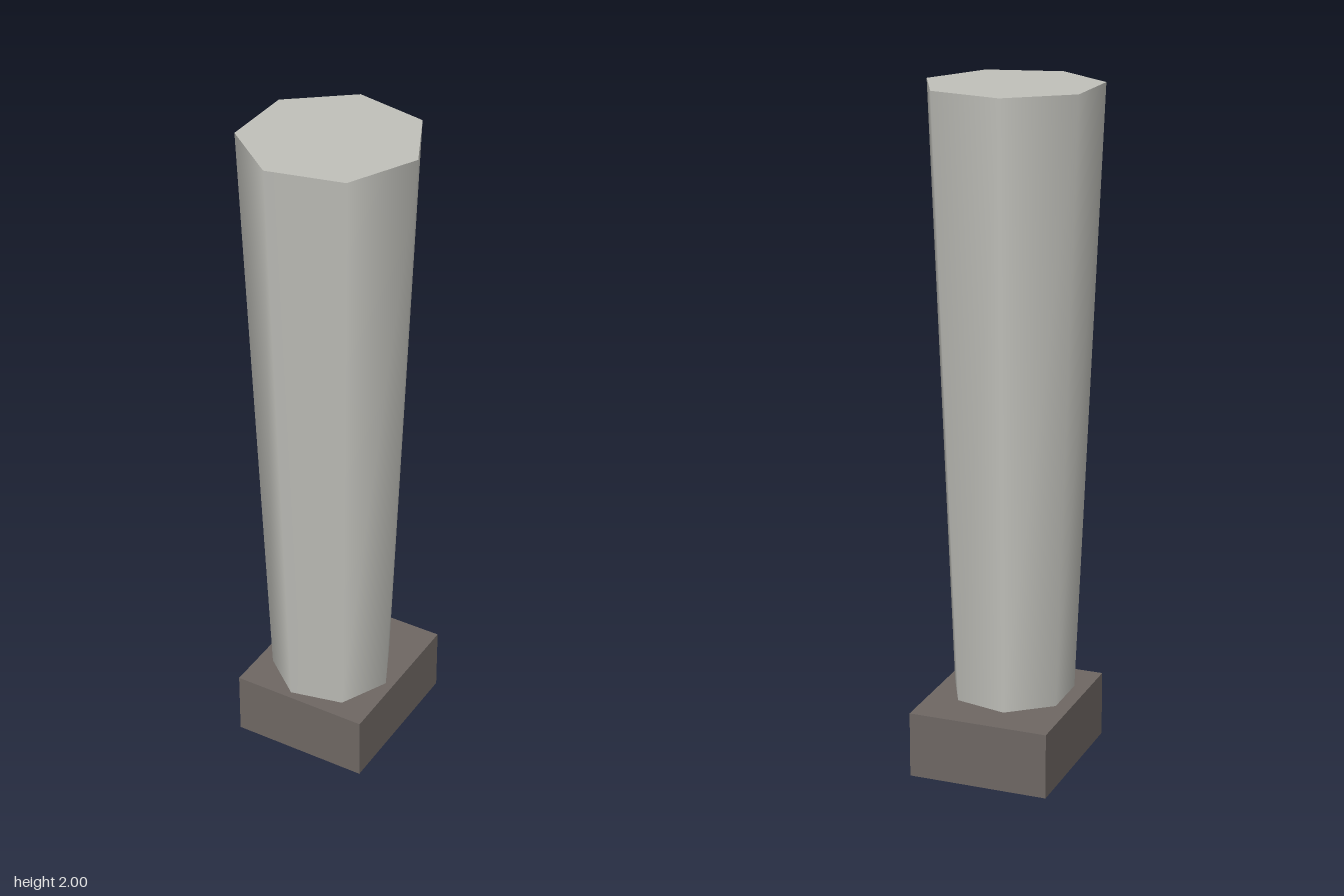
import * as THREE from 'three';

export function createModel() {
  const model = new THREE.Group();
  const stone = new THREE.MeshStandardMaterial({ color: 0xc0c0ba });
  stone.name = 'paleStone';
  const dark = new THREE.MeshStandardMaterial({ color: 0x6e6763 });
  dark.name = 'darkStone';

  // Rectangular plinth, slightly off the shaft's axis
  const baseHeight = 0.197;
  const base = new THREE.Mesh(new THREE.BoxGeometry(0.422, baseHeight, 0.487), dark);
  base.name = 'base';
  base.position.set(-0.014, baseHeight / 2, -0.027);

  // Smooth seven-sided shaft widening upward, one corner pointing to +x
  const height = 2 - baseHeight;
  const shaft = new THREE.Mesh(
    new THREE.CylinderGeometry(0.259, 0.185, height, 7, 1, false, Math.PI / 2),
    stone
  );
  shaft.name = 'shaft';
  shaft.position.set(-0.013, baseHeight + height / 2, 0.014);

  model.add(base, shaft);
  return model;
}
